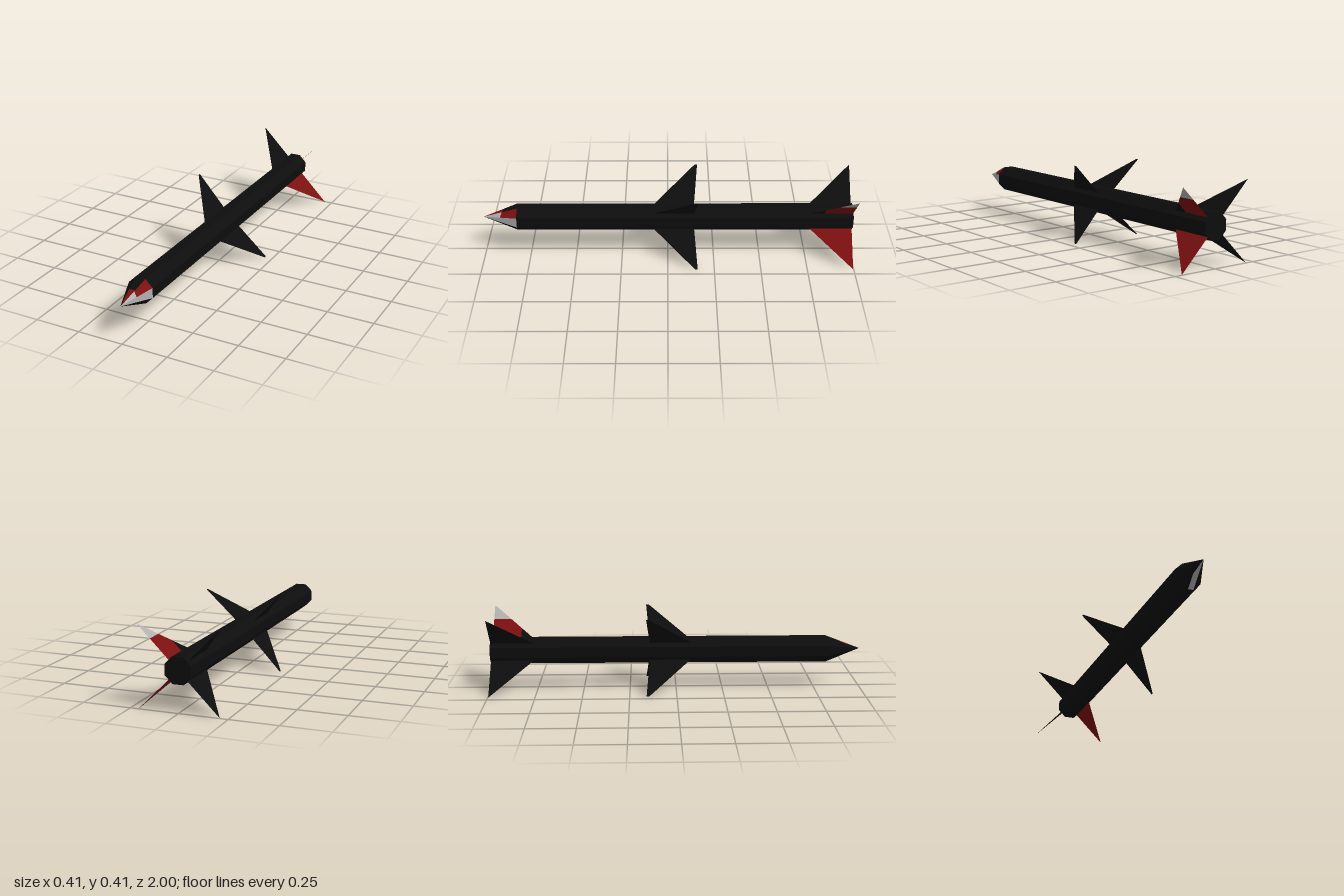
import * as THREE from 'three';

const mat = (name, color) => new THREE.MeshStandardMaterial({ name, color, side: THREE.DoubleSide });

export function createModel() {
  const black = mat('black', 0x0d0d0d);
  const red = mat('red', 0x7c1010);
  const grey = mat('lightGrey', 0xb0b0b0);

  const root = new THREE.Group();
  root.name = 'missile';
  const model = new THREE.Group();
  model.name = 'airframe';
  model.position.y = 0.207;
  root.add(model);

  const add = (parent, name, geometry, material) => {
    const mesh = new THREE.Mesh(geometry, material);
    mesh.name = name;
    parent.add(mesh);
  };

  // Octagonal body with flat faces at top, bottom and sides
  const R = 0.0725, TAIL = -1, SHOULDER = 0.815, TIP = 1;
  let body = new THREE.CylinderGeometry(R, R, SHOULDER - TAIL, 8);
  body.rotateY(Math.PI / 8).rotateX(Math.PI / 2).translate(0, 0, (SHOULDER + TAIL) / 2);
  body = body.toNonIndexed();
  body.computeVertexNormals();
  add(model, 'body', body, black);

  // Nose: u runs across a facet, t runs from the tip (0) to the shoulder (1)
  const nosePoint = (k, u, t) => {
    const a = (k - 0.5) * Math.PI / 4, b = (k + 0.5) * Math.PI / 4;
    const mix = THREE.MathUtils.lerp;
    return [
      R * t * mix(Math.cos(a), Math.cos(b), u),
      R * t * mix(Math.sin(a), Math.sin(b), u),
      mix(TIP, SHOULDER, t),
    ];
  };
  const nosePatch = (k, corners) => {
    const points = corners.map(([u, t]) => nosePoint(k, u, t));
    const pos = [];
    for (let i = 1; i < points.length - 1; i++) pos.push(...points[0], ...points[i], ...points[i + 1]);
    const geometry = new THREE.BufferGeometry();
    geometry.setAttribute('position', new THREE.Float32BufferAttribute(pos, 3));
    geometry.computeVertexNormals();
    return geometry;
  };
  const whole = [[0, 0], [0, 1], [1, 1]];
  const inner = (t0, t1) => [[0, 0], [0, t0], [1, t1]];
  const outer = (t0, t1) => [[0, t0], [0, 1], [1, 1], [1, t1]];
  const painted = {
    0: [[grey, whole]],
    1: [[grey, inner(0.5, 0.55)], [red, outer(0.5, 0.55)]],
    2: [[red, inner(0.58, 0.58)], [black, outer(0.58, 0.58)]],
    6: [[grey, [[0, 0], [0, 0.5], [0.5, 1], [1, 1]]], [black, [[0, 0.5], [0, 1], [0.5, 1]]]],
  };
  const nose = new THREE.Group();
  nose.name = 'nose';
  model.add(nose);
  for (let k = 0; k < 8; k++) {
    for (const [material, corners] of painted[k] ?? [[black, whole]]) {
      add(nose, 'noseFacet', nosePatch(k, corners), material);
    }
  }

  // Thin fins drawn as (radius, z) outlines, set on the four diagonals
  const plate = (outline, angle) => {
    const shape = new THREE.Shape(outline.map(([r, z]) => new THREE.Vector2(r, z)));
    return new THREE.ShapeGeometry(shape).rotateX(Math.PI / 2).rotateZ(angle);
  };
  const midFin = [[0.06, 0.085], [0.293, -0.147], [0.293, -0.161], [0.06, -0.142]];
  const tailFin = [[0.06, -0.76], [0.293, -0.997], [0.06, -0.997]];
  const edgeZ = (r) => -0.76 - (r - 0.06) * 0.237 / 0.233;
  const edgeR = (z) => 0.06 + (-0.76 - z) * 0.233 / 0.237;
  const bandZ = -0.842, tipR = 0.2;

  for (let i = 0; i < 4; i++) {
    const angle = Math.PI / 4 + i * Math.PI / 2;
    add(model, 'midFin', plate(midFin, angle), black);
    if (i === 0) {
      // Upper left tail fin: black leading root, red band, light tip
      add(model, 'tailFinRoot', plate([[0.06, -0.76], [edgeR(bandZ), bandZ], [0.06, bandZ]], angle), black);
      add(model, 'tailFinBand', plate([[0.06, bandZ], [edgeR(bandZ), bandZ], [tipR, edgeZ(tipR)], [tipR, -0.997], [0.06, -0.997]], angle), red);
      add(model, 'tailFinTip', plate([[tipR, edgeZ(tipR)], [0.293, -0.997], [tipR, -0.997]], angle), grey);
    } else {
      add(model, 'tailFin', plate(tailFin, angle), i === 3 ? red : black);
    }
  }
  return root;
}
